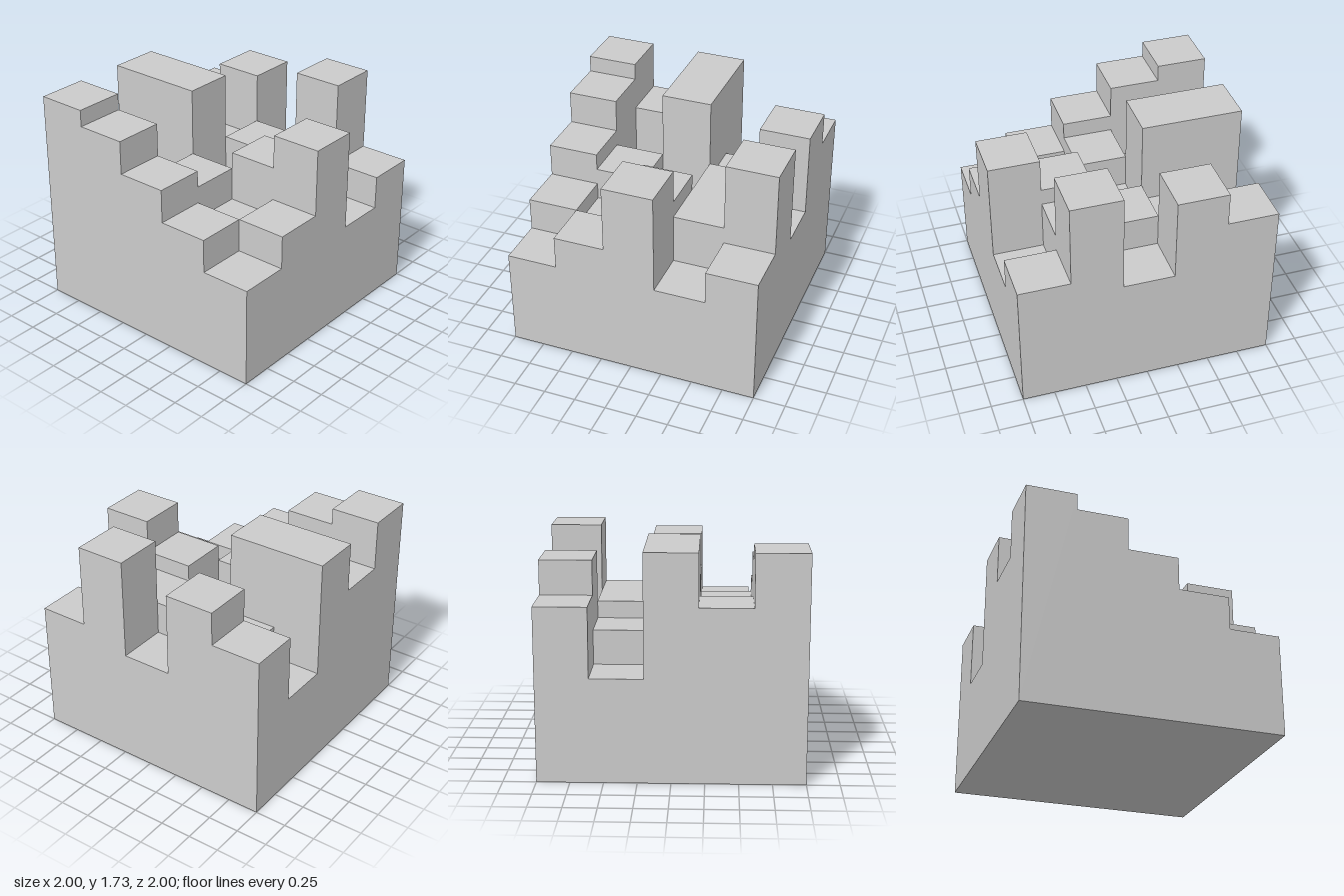
import * as THREE from 'three';

const CELL = 0.4, STEP = 2 / 15, N = 5;

// Column heights in steps: rows run back to front, entries run -x to +x
const HEIGHTS = [
  [10, 12, 7, 13, 8],
  [6, 8, 9, 9, 6],
  [13, 13, 7, 10, 12],
  [10, 7, 9, 7, 8],
  [13, 12, 10, 8, 6],
];

const heightAt = (row, col) => (HEIGHTS[row]?.[col] ?? 0) * STEP;

// Mesh from a list of four-cornered faces, corners anticlockwise from outside
function quadMesh(name, quads, material) {
  const positions = quads.flatMap(([a, b, c, d]) => [a, b, c, a, c, d].flat());
  const geometry = new THREE.BufferGeometry();
  geometry.setAttribute('position', new THREE.Float32BufferAttribute(positions, 3));
  geometry.computeVertexNormals();
  const mesh = new THREE.Mesh(geometry, material);
  mesh.name = name;
  return mesh;
}

// Level square or rectangle facing up
const level = (x0, x1, z0, z1, y) => [[x0, y, z1], [x1, y, z1], [x1, y, z0], [x0, y, z0]];

export function createModel() {
  const group = new THREE.Group();
  group.name = 'steppedBlock';
  const material = new THREE.MeshStandardMaterial({ color: 0xcccccc, flatShading: true });
  const tops = [], walls = [];
  const h = CELL / 2;

  for (let row = 0; row < N; row++) {
    for (let col = 0; col < N; col++) {
      const x = (col - 2) * CELL, z = (row - 2) * CELL, y = heightAt(row, col);
      tops.push(level(x - h, x + h, z - h, z + h, y));

      // A wall wherever the neighbour is lower
      for (const [dx, dz] of [[1, 0], [-1, 0], [0, 1], [0, -1]]) {
        const low = heightAt(row + dz, col + dx);
        if (low >= y) continue;
        const cx = x + dx * h, cz = z + dz * h;
        const rx = dz * h, rz = -dx * h;
        walls.push([
          [cx - rx, low, cz - rz], [cx + rx, low, cz + rz],
          [cx + rx, y, cz + rz], [cx - rx, y, cz - rz],
        ]);
      }
    }
  }

  group.add(quadMesh('columnTops', tops, material));
  group.add(quadMesh('columnWalls', walls, material));
  group.add(quadMesh('underside', [level(-1, 1, -1, 1, 0).reverse()], material));
  return group;
}
